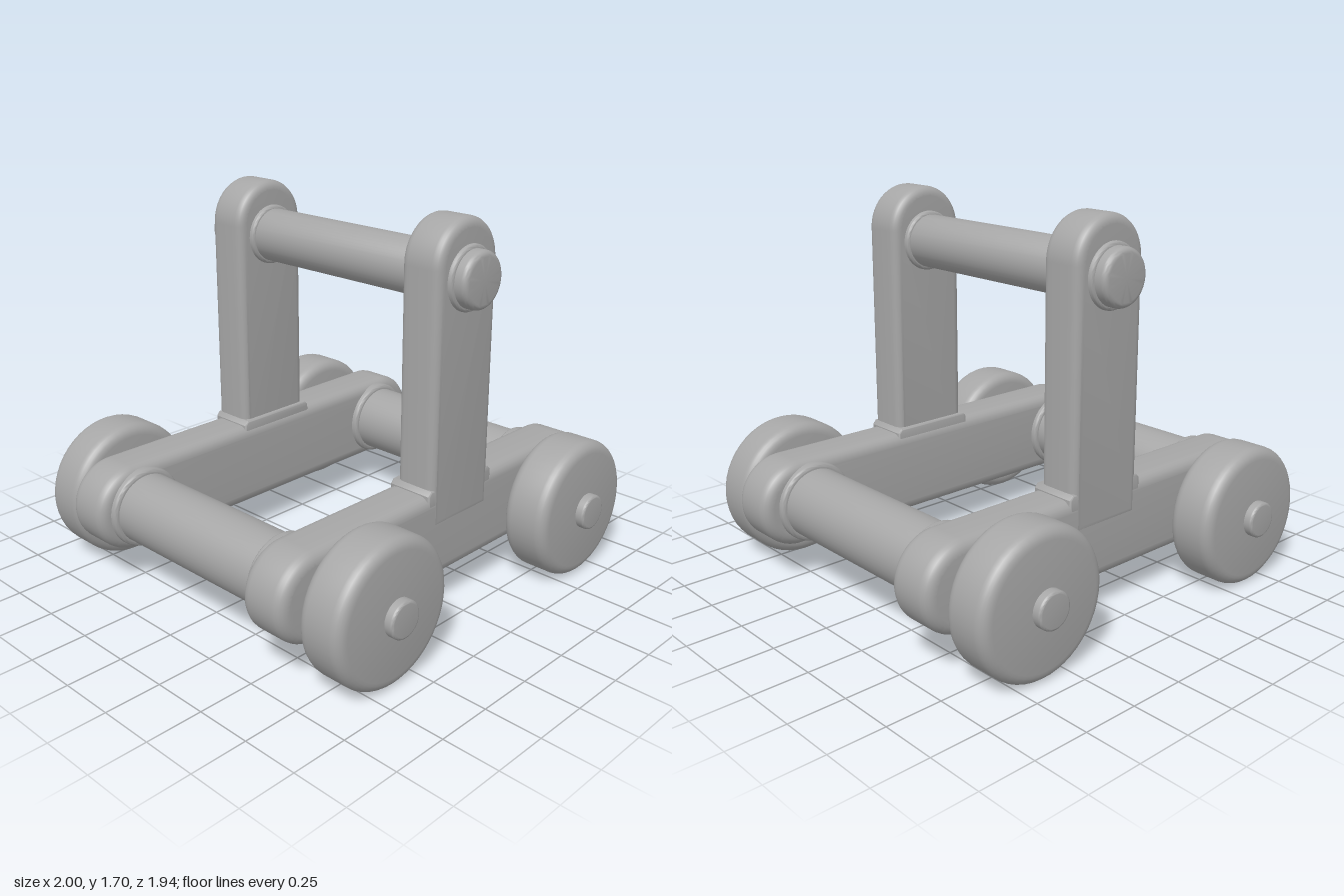
import * as THREE from 'three';
import { toCreasedNormals } from 'three/addons/utils/BufferGeometryUtils.js';

export function createModel() {
  const model = new THREE.Group();
  model.name = 'rollingFrame';
  const grey = new THREE.MeshStandardMaterial({ color: 0xa6a6a6 });
  grey.name = 'grey';

  const add = (name, geometry, x, y, z) => {
    const mesh = new THREE.Mesh(toCreasedNormals(geometry, 0.65), grey);
    mesh.name = name;
    mesh.position.set(x, y, z);
    model.add(mesh);
  };

  // Outline extruded along z with rounded edges, centred on z = 0
  const slab = (shape, depth, bevel) => {
    const g = new THREE.ExtrudeGeometry(shape, {
      depth: depth - 2 * bevel, bevelEnabled: true, bevelThickness: bevel,
      bevelSize: bevel, bevelOffset: -bevel, bevelSegments: 5, curveSegments: 24,
    });
    return g.translate(0, 0, -depth / 2 + bevel);
  };

  // Round part along z from z0 to z1, with rounded rims and an optional dome on each end
  const round = (radius, z0, z1, rim, dome0 = 0, dome1 = 0) => {
    const pts = [new THREE.Vector2(0, z0 - dome0)];
    for (let i = 0; i <= 6; i++) {
      const a = (i / 6) * Math.PI / 2;
      pts.push(new THREE.Vector2(radius - rim + rim * Math.sin(a), z0 + rim - rim * Math.cos(a)));
    }
    for (let i = 0; i <= 6; i++) {
      const a = (i / 6) * Math.PI / 2;
      pts.push(new THREE.Vector2(radius - rim + rim * Math.cos(a), z1 - rim + rim * Math.sin(a)));
    }
    pts.push(new THREE.Vector2(0, z1 + dome1));
    return new THREE.LatheGeometry(pts, 48).rotateX(Math.PI / 2);
  };

  // Side rail outline: long bar with half-round ends
  const railShape = new THREE.Shape();
  railShape.absarc(0.805, 0, 0.195, -Math.PI / 2, Math.PI / 2);
  railShape.absarc(-0.805, 0, 0.195, Math.PI / 2, Math.PI * 1.5);
  railShape.closePath();

  // Upright outline: straight post with a half-round top
  const postShape = new THREE.Shape();
  postShape.moveTo(-0.19, 0.4);
  postShape.lineTo(0.19, 0.4);
  postShape.absarc(0, 1.51, 0.19, 0, Math.PI);
  postShape.closePath();

  // Low welded flange at the foot of an upright
  const footShape = new THREE.Shape();
  footShape.moveTo(-0.207, 0.5);
  footShape.lineTo(0.207, 0.5);
  footShape.lineTo(0.207, 0.565);
  footShape.lineTo(0.19, 0.585);
  footShape.lineTo(-0.19, 0.585);
  footShape.lineTo(-0.207, 0.565);
  footShape.closePath();

  const postX = 0.05, barY = 1.455, railY = 0.365;
  const crossbars = [-0.768, 0.745];

  for (const s of [1, -1]) {
    const side = s > 0 ? 'front' : 'back';
    const span = (a, b) => (s > 0 ? [a, b] : [-b, -a]);

    add(side + 'Rail', slab(railShape, 0.225, 0.05), 0, railY, s * 0.56);
    add(side + 'Upright', slab(postShape, 0.2, 0.04), postX, 0, s * 0.575);
    add(side + 'UprightFoot', slab(footShape, 0.215, 0.012), postX, 0, s * 0.564);

    // Handle bar end cap and collars on both faces of the upright
    add(side + 'HandleCap', round(0.122, ...span(0.6, 0.752), 0.025), postX, barY, 0);
    add(side + 'HandleOuterCollar', round(0.138, ...span(0.62, 0.695), 0.015), postX, barY, 0);
    add(side + 'HandleInnerCollar', round(0.135, ...span(0.452, 0.55), 0.015), postX, barY, 0);

    // Collars where the crossbars meet the rail
    for (const x of crossbars) {
      add(side + 'CrossbarCollar', round(0.18, ...span(0.42, 0.52), 0.018), x, railY, 0);
    }

    // Wheels with slightly domed outer faces, and axle hubs
    for (const x of [-0.635, 0.63]) {
      const domes = s > 0 ? [0, 0.015] : [0.015, 0];
      add(side + 'Wheel', round(0.315, ...span(0.7, 0.92), 0.05, ...domes), x, 0.32, 0);
      add(side + 'WheelHub', round(0.08, ...span(0.85, 0.97), 0.012), x, 0.323, 0);
    }
  }

  // Bars joining the two sides
  add('handleBar', round(0.12, -0.55, 0.55, 0.01), postX, barY, 0);
  for (const x of crossbars) add('crossbar', round(0.157, -0.52, 0.52, 0.01), x, railY, 0);

  return model;
}
